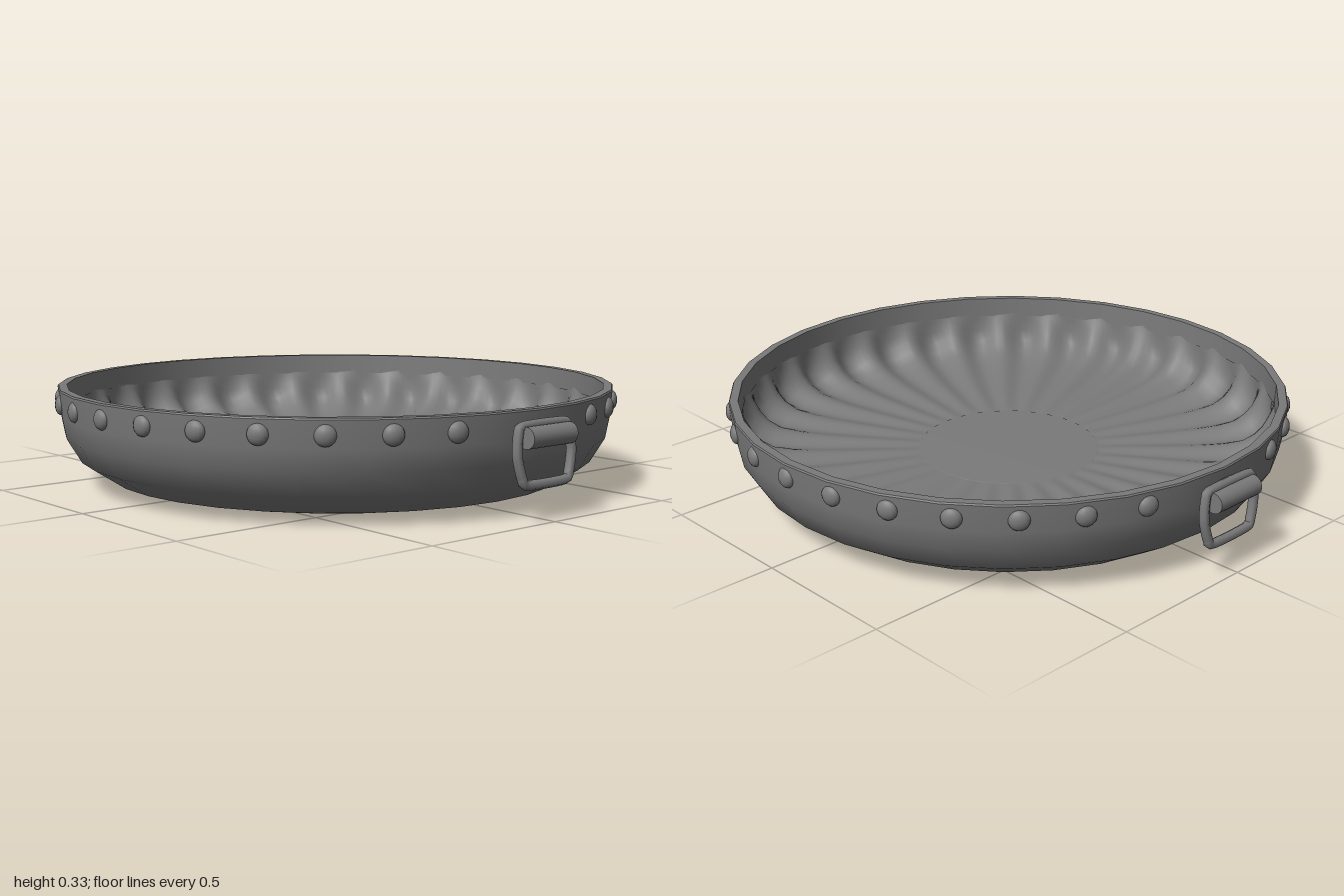
import * as THREE from 'three';
import { mergeVertices } from 'three/addons/utils/BufferGeometryUtils.js';

const FLUTES = 30;

export function createModel() {
  const group = new THREE.Group();
  const material = new THREE.MeshStandardMaterial({ color: 0x7a7a7a });
  const add = (name, geometry, parent = group) => {
    const mesh = new THREE.Mesh(geometry, material);
    mesh.name = name;
    parent.add(mesh);
    return mesh;
  };
  const lathe = (points, segments) =>
    new THREE.LatheGeometry(points.map(([r, y]) => new THREE.Vector2(r, y)), segments);

  // Outer bowl and flat base
  add('bowlOuter', lathe([
    [0, 0], [0.665, 0.004], [0.765, 0.025], [0.865, 0.09], [0.913, 0.17], [0.926, 0.24], [0.933, 0.325],
  ], 32));

  // Rim lip, flat on top with a slight outer bevel
  add('rimBevel', lathe([[0.933, 0.325], [0.93, 0.33]], 32));
  add('rimTop', lathe([[0.93, 0.33], [0.902, 0.33]], 32));
  add('rimInner', lathe([[0.902, 0.33], [0.899, 0.26]], 32));

  // Fluted interior: radius, height, flute strength
  const profile = [
    [0.9, 0.275, 0], [0.895, 0.25, 0.25], [0.887, 0.215, 0.8], [0.872, 0.178, 1], [0.845, 0.148, 1],
    [0.8, 0.125, 0.8], [0.73, 0.114, 0.55], [0.65, 0.108, 0.4], [0.55, 0.105, 0.3],
    [0.45, 0.103, 0.22], [0.36, 0.101, 0.12], [0.305, 0.1, 0.02],
  ];
  let inner = lathe(profile, FLUTES * 10);
  const pos = inner.attributes.position;
  for (let i = 0; i < pos.count; i++) {
    const [r, y, strength] = profile[i % profile.length];
    const angle = Math.floor(i / profile.length) / (FLUTES * 10) * Math.PI * 2;
    const wave = strength * Math.cos(angle * FLUTES);
    const steep = THREE.MathUtils.smoothstep(r, 0.75, 0.88);
    const radius = r - 0.014 * steep * wave;
    pos.setXYZ(i, radius * Math.sin(angle), y + 0.018 * wave, radius * Math.cos(angle));
  }
  inner.deleteAttribute('uv');
  inner.deleteAttribute('normal');
  inner = mergeVertices(inner, 1e-5);
  inner.computeVertexNormals();
  add('flutedInterior', inner);

  // Smooth centre disc with a fine edge
  add('centreDisc', lathe([[0.31, 0.098], [0.305, 0.102], [0, 0.102]], 64));

  // Domed rivets around the wall, left out behind the two handles
  const rivetShape = new THREE.SphereGeometry(0.033, 14, 10);
  for (let i = 0; i < 30; i++) {
    const angle = i / 30 * Math.PI * 2;
    if (Math.abs(Math.sin(angle)) > 0.99) continue;
    const rivet = add('rivet', rivetShape);
    rivet.scale.z = 0.6;
    rivet.position.set(0.926 * Math.sin(angle), 0.28, 0.926 * Math.cos(angle));
    rivet.rotation.y = angle;
  }

  // Hinged drop handles on both sides, the rings leaning slightly outward
  const half = [[0.085, 0.285], [0.108, 0.268], [0.117, 0.2], [0.102, 0.135], [0.08, 0.112]];
  const loop = [...half, ...half.slice().reverse().map(([z, y]) => [-z, y])];
  const ringPath = new THREE.CatmullRomCurve3(
    loop.map(([z, y]) => new THREE.Vector3(0.97 - 0.08 * y, y, z)), true, 'catmullrom', 0.4);
  for (const side of [0, 1]) {
    const handle = new THREE.Group();
    handle.name = side ? 'rightHandle' : 'leftHandle';
    handle.rotation.y = side * Math.PI;
    group.add(handle);
    const bracket = add('handleBracket', new THREE.BoxGeometry(0.06, 0.055, 0.15), handle);
    bracket.position.set(0.935, 0.25, 0);
    const barrel = add('handleBarrel', new THREE.CylinderGeometry(0.033, 0.033, 0.19, 20), handle);
    barrel.rotation.x = Math.PI / 2;
    barrel.position.set(0.967, 0.253, 0);
    add('handleRing', new THREE.TubeGeometry(ringPath, 72, 0.0155, 8, true), handle);
  }
  return group;
}
